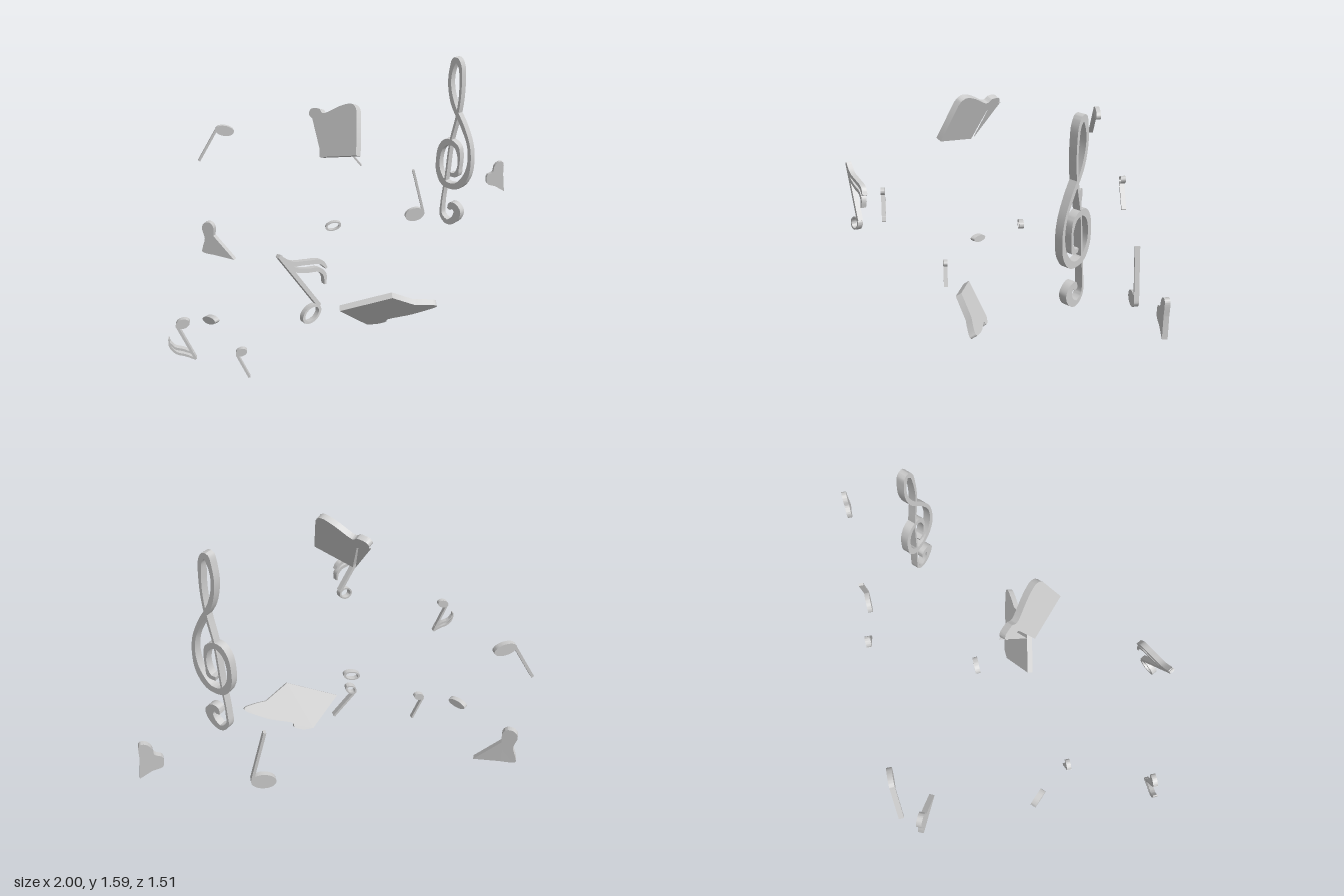
import * as THREE from 'three';
import { toCreasedNormals } from 'three/addons/utils/BufferGeometryUtils.js';

const material = new THREE.MeshStandardMaterial({ color: 0xcccccc });

// Every sign is drawn flat in x/y, then laid on the plane z = z0 + a(x - x0) + b(y - y0)
// and given its thickness along the plane's normal.
function lay(name, geometry, { x0 = 0, y0 = 0, z0, a = 0, b = 0, thick = 0.026 }) {
  const n = new THREE.Vector3(-a, -b, 1).normalize().multiplyScalar(thick);
  const m = new THREE.Matrix4().makeBasis(new THREE.Vector3(1, 0, a), new THREE.Vector3(0, 1, b), n);
  m.setPosition(0, 0, z0 - a * x0 - b * y0);
  const mesh = new THREE.Mesh(toCreasedNormals(geometry.applyMatrix4(m), 0.6), material);
  mesh.name = name;
  return mesh;
}

const extrude = (shape) =>
  new THREE.ExtrudeGeometry(shape, { depth: 1, bevelEnabled: false, curveSegments: 20 }).translate(0, 0, -0.5);

// Ribbon of changing width through points [x, y, width]
function stroke(points, steps) {
  const curve = new THREE.CatmullRomCurve3(points.map((p) => new THREE.Vector3(...p)));
  const pos = [], index = [];
  for (let i = 0; i <= steps; i++) {
    const p = curve.getPoint(i / steps), t = curve.getTangent(i / steps);
    const len = Math.hypot(t.x, t.y) || 1;
    const nx = (-t.y / len) * p.z / 2, ny = (t.x / len) * p.z / 2;
    for (const [s, z] of [[1, 0.5], [1, -0.5], [-1, -0.5], [-1, 0.5]]) pos.push(p.x + s * nx, p.y + s * ny, z);
  }
  for (let i = 0; i < steps; i++) {
    for (let k = 0; k < 4; k++) {
      const a = i * 4 + k, b = i * 4 + ((k + 1) % 4), c = b + 4, d = a + 4;
      index.push(a, d, c, a, c, b);
    }
  }
  const e = steps * 4;
  index.push(0, 1, 2, 0, 2, 3, e + 2, e + 1, e, e + 3, e + 2, e);
  const g = new THREE.BufferGeometry();
  g.setAttribute('position', new THREE.Float32BufferAttribute(pos, 3));
  g.setIndex(index);
  return g;
}

// Oval note head, solid or as a ring
function head([x, y, rx, ry, tilt], hole = 0) {
  const shape = new THREE.Shape().absellipse(x, y, rx, ry, 0, Math.PI * 2, false, tilt);
  if (hole) shape.holes.push(new THREE.Path().absellipse(x, y, rx * hole, ry * hole, 0, Math.PI * 2, true, tilt));
  return extrude(shape);
}

// A note: head, optional stem from start to end, optional flags
function note(name, plane, { oval, hole, stem, flags = [] }) {
  const g = new THREE.Group();
  g.name = name;
  g.add(lay('noteHead', head(oval, hole), plane));
  if (stem) g.add(lay('stem', stroke(stem, 1), plane));
  flags.forEach((f) => g.add(lay('flag', stroke(f, 20), plane)));
  return g;
}

// Filled double note: straight corners, then a wavy edge over both rounded heads
function filledPair(corners, wave, plane) {
  const shape = new THREE.Shape();
  shape.moveTo(...corners[0]);
  corners.slice(1).forEach((p) => shape.lineTo(...p));
  shape.lineTo(...wave[0]);
  shape.splineThru(wave.slice(1).map((p) => new THREE.Vector2(...p)));
  shape.closePath();
  return lay('filledDoubleNote', extrude(shape), plane);
}

export function createModel() {
  const model = new THREE.Group();
  model.name = 'musicNotes';

  // Treble clef: curl, stem, top loop, belly and inner spiral in one stroke
  const clef = [
    [0.578, 0.70, 0.016], [0.594, 0.73, 0.036], [0.618, 0.70, 0.034], [0.607, 0.647, 0.032], [0.575, 0.618, 0.03],
    [0.543, 0.65, 0.014], [0.541, 0.727, 0.008], [0.557, 0.90, 0.008], [0.573, 1.11, 0.008], [0.598, 1.26, 0.01],
    [0.609, 1.366, 0.01], [0.610, 1.47, 0.012], [0.603, 1.55, 0.016], [0.583, 1.583, 0.026], [0.565, 1.526, 0.016],
    [0.560, 1.44, 0.014], [0.579, 1.33, 0.018], [0.625, 1.218, 0.018], [0.658, 1.112, 0.014], [0.665, 1.006, 0.016],
    [0.648, 0.913, 0.026], [0.607, 0.85, 0.034], [0.557, 0.85, 0.034], [0.524, 0.909, 0.024], [0.517, 0.985, 0.018],
    [0.531, 1.07, 0.024], [0.562, 1.108, 0.034], [0.600, 1.09, 0.024], [0.616, 1.03, 0.012], [0.614, 0.96, 0.01],
    [0.602, 0.918, 0.024], [0.578, 0.915, 0.022],
  ];
  model.add(lay('trebleClef', stroke(clef, 200), { x0: 0.585, z0: -0.385, a: 1, thick: 0.042 }));

  // Large upper double note, with a thin web behind its second head
  const upper = { x0: -0.21, y0: 1.19, z0: 0.06, a: 1.18, b: -0.56, thick: 0.035 };
  model.add(filledPair([[-0.21, 1.19], [-0.042, 1.245]],
    [[-0.028, 1.44], [-0.034, 1.463], [-0.055, 1.471], [-0.103, 1.448], [-0.178, 1.398], [-0.2, 1.413],
      [-0.235, 1.405], [-0.25, 1.38], [-0.24, 1.362], [-0.206, 1.345]], upper));
  const web = new THREE.Shape([[-0.21, 1.19], [-0.2, 1.36], [-0.247, 1.37]].map((p) => new THREE.Vector2(...p)));
  model.add(lay('noteWeb', extrude(web), { ...upper, z0: 0.034, thick: 0.003 }));

  // Other filled double notes
  model.add(filledPair([[0.03, 0.19], [-0.13, 0.332], [0.15, 0.423]],
    [[0.28, 0.35], [0.34, 0.345], [0.4, 0.334], [0.405, 0.318], [0.36, 0.295], [0.27, 0.26], [0.15, 0.23],
      [0.135, 0.205], [0.085, 0.188]],
    { y0: 0.427, z0: 0.147, b: 0.63, thick: 0.036 }));
  model.add(filledPair([[0.997, 0.665]],
    [[0.985, 0.78], [0.983, 0.85], [0.955, 0.86], [0.928, 0.835], [0.918, 0.795], [0.885, 0.775],
      [0.88, 0.74], [0.892, 0.714], [0.935, 0.702]],
    { z0: -0.74 }));
  model.add(filledPair([[-0.7, 0.345]],
    [[-0.818, 0.485], [-0.815, 0.54], [-0.835, 0.568], [-0.868, 0.562], [-0.885, 0.525], [-0.872, 0.46],
      [-0.888, 0.4], [-0.888, 0.365], [-0.82, 0.358]],
    { x0: -0.79, z0: -0.65, a: 0.5, thick: 0.03 }));

  // Plain notes
  const back = { z0: -0.74 };
  model.add(note('solidNoteUpperLeft', back,
    { oval: [-0.722, 1.12, 0.055, 0.031, -0.2], stem: [[-0.882, 0.94, 0.014], [-0.765, 1.135, 0.014]] }));
  model.add(note('solidNoteRight', back,
    { oval: [0.43, 0.533, 0.062, 0.042, 0.25], stem: [[0.484, 0.55, 0.014], [0.415, 0.826, 0.014]] }));
  model.add(note('hollowNote', back,
    { oval: [0.012, 1.01, 0.029, 0.02, 0.7], hole: 0.72, stem: [[-0.01, 0.997, 0.01], [0.09, 0.871, 0.01]] }));
  model.add(note('solidNoteLow', { z0: 0.19 },
    { oval: [-0.67, 0.16, 0.031, 0.022, 0.35], stem: [[-0.695, 0.148, 0.012], [-0.634, 0.003, 0.012]] }));

  // Loose whole notes
  model.add(note('wholeNoteRing', { z0: -0.22 }, { oval: [-0.132, 0.695, 0.045, 0.026, 0.25], hole: 0.76 }));
  model.add(note('wholeNoteSolid', { x0: -0.833, z0: -0.03, a: 1.08, thick: 0.032 },
    { oval: [-0.833, 0.246, 0.037, 0.022, 0.35] }));

  // Flagged notes
  model.add(note('flaggedNoteLarge', { x0: -0.32, y0: 0.64, z0: 0.698, a: -0.5, b: -0.11, thick: 0.03 }, {
    oval: [-0.324, 0.64, 0.05, 0.037, 0.75], hole: 0.74,
    stem: [[-0.287, 0.672, 0.018], [-0.462, 0.955, 0.018]],
    flags: [
      [[-0.465, 0.957, 0.012], [-0.41, 0.908, 0.02], [-0.34, 0.894, 0.02], [-0.275, 0.88, 0.02], [-0.248, 0.845, 0.01]],
      [[-0.452, 0.935, 0.012], [-0.40, 0.878, 0.02], [-0.34, 0.856, 0.02], [-0.285, 0.846, 0.02],
        [-0.258, 0.815, 0.016], [-0.256, 0.768, 0.008]],
    ],
  }));
  model.add(note('flaggedNoteSmall', { z0: 0.572 }, {
    oval: [-0.925, 0.558, 0.034, 0.024, 0.35],
    stem: [[-0.953, 0.548, 0.012], [-0.877, 0.364, 0.012]],
    flags: [
      [[-0.875, 0.364, 0.008], [-0.92, 0.388, 0.012], [-0.965, 0.405, 0.012], [-0.992, 0.44, 0.01], [-0.996, 0.482, 0.006]],
      [[-0.885, 0.395, 0.008], [-0.93, 0.418, 0.012], [-0.97, 0.432, 0.011], [-0.994, 0.462, 0.006]],
    ],
  }));
  return model;
}
